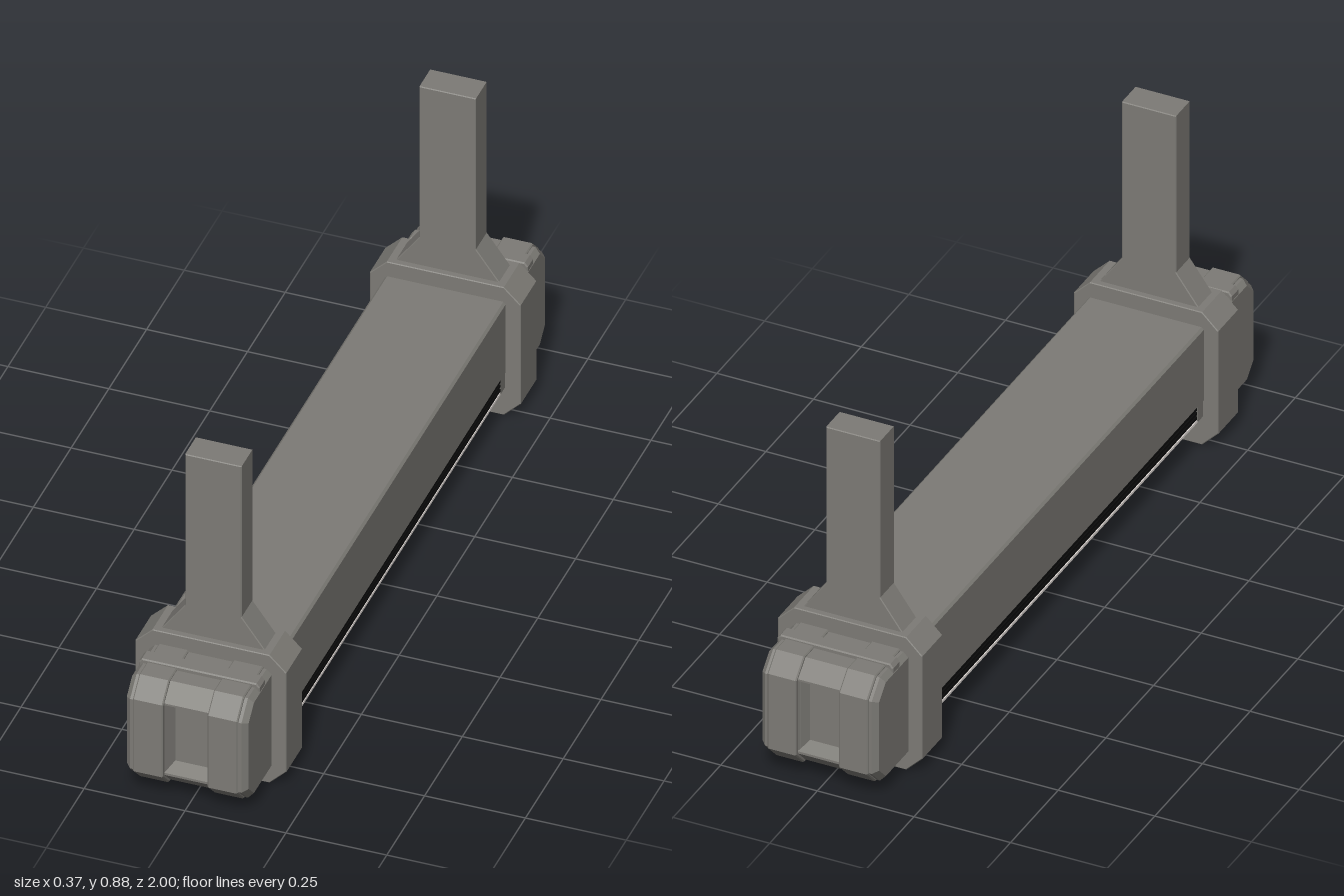
import * as THREE from 'three';

const gray = new THREE.MeshStandardMaterial({ color: 0x7d7b76 });
gray.name = 'housingGray';
const black = new THREE.MeshStandardMaterial({ color: 0x0b0b0b });
black.name = 'ventBlack';
const teal = new THREE.MeshStandardMaterial({ color: 0x66cbc9 });
teal.name = 'lensTeal';
const pale = new THREE.MeshStandardMaterial({ color: 0xe6dfdb });
pale.name = 'trimPale';

function extrude(points, depth, bevel = 0) {
  const shape = new THREE.Shape(points.map(([a, b]) => new THREE.Vector2(a, b)));
  const geo = new THREE.ExtrudeGeometry(shape, {
    depth: depth - 2 * bevel, bevelEnabled: bevel > 0, bevelSize: bevel,
    bevelThickness: bevel, bevelOffset: -bevel, bevelSegments: 1,
  });
  return geo.translate(0, 0, bevel - depth / 2);
}

// x-y section run along z, centred on z
function alongZ(name, points, depth, z, material, bevel) {
  const mesh = new THREE.Mesh(extrude(points, depth, bevel), material);
  mesh.name = name;
  mesh.position.z = z;
  return mesh;
}

// z-y section run along x, centred on x
function alongX(name, points, width, x, material, bevel) {
  const mesh = new THREE.Mesh(extrude(points, width, bevel).rotateY(-Math.PI / 2), material);
  mesh.name = name;
  mesh.position.x = x;
  return mesh;
}

function box(name, w, h, d, x, y, z, material) {
  const mesh = new THREE.Mesh(new THREE.BoxGeometry(w, h, d), material);
  mesh.name = name;
  mesh.position.set(x, y, z);
  return mesh;
}

// right half of a section, completed by reflection
const mirrored = (half) => [...half, ...half.slice().reverse().map(([x, y]) => [-x, y])];

// end-cap side profile with chamfered outer corners
const capProfile = (z, y0, y1) => [
  [0.8, y0], [z - 0.043, y0], [z, y0 + 0.043], [z, y1 - 0.043], [z - 0.043, y1], [0.8, y1],
];

function createEnd(name) {
  const end = new THREE.Group();
  end.name = name;

  // clamp ring and hanger
  const ring = mirrored([[0.145, 0], [0.187, 0.042], [0.187, 0.325], [0.145, 0.366]]);
  end.add(alongZ('bracket', ring, 0.106, 0.776, gray, 0.002));
  const stem = mirrored([[0.128, 0.355], [0.128, 0.365], [0.07, 0.445], [0.07, 0.877]]);
  end.add(alongZ('hanger', stem, 0.074, 0.776, gray, 0.002));

  // cap: two bevelled cheeks, raised pads and a recessed middle
  for (const s of [-1, 1]) {
    end.add(alongX('capCheek', capProfile(0.995, 0.04, 0.325), 0.1, s * 0.101, gray, 0.013));
    end.add(alongX('capPad', capProfile(1, 0.038, 0.33), 0.075, s * 0.0925, gray, 0.003));
  }
  end.add(alongX('capMiddle', [
    [0.8, 0.042], [0.95, 0.042], [0.99, 0.082], [0.99, 0.088], [0.957, 0.105],
    [0.957, 0.265], [0.99, 0.282], [0.99, 0.287], [0.95, 0.325], [0.8, 0.325],
  ], 0.11, 0, gray));

  // sloping sides of the recess
  for (const s of [-1, 1]) {
    const wedge = extrude([[0, 0], [s * -0.015, 0], [0, 0.033]], 0.19).rotateX(Math.PI / 2);
    const slope = new THREE.Mesh(wedge, gray);
    slope.name = 'recessSlope';
    slope.position.set(s * 0.055, 0.185, 0.957);
    end.add(slope);
  }

  // raised ridge over the cap
  end.add(alongZ('capRidge', mirrored([[0.15, 0.31], [0.15, 0.326], [0.142, 0.336]]), 0.038, 0.888, gray, 0.003));

  // lower lip closing the housing beside the lens
  end.add(alongZ('housingLip', mirrored([[0.12, 0.05], [0.148, 0.08], [0.148, 0.2]]), 0.05, 0.719, gray));
  return end;
}

export function createModel() {
  const model = new THREE.Group();
  model.name = 'hangingLamp';

  // long housing
  const section = mirrored([[0.15, 0.125], [0.15, 0.319], [0.144, 0.325]]);
  model.add(alongZ('housing', section, 1.5, 0, gray));

  // ribbed vent strip
  model.add(box('ventCore', 0.28, 0.042, 1.38, 0, 0.105, 0, black));
  for (const s of [-1, 1]) {
    for (const y of [0.095, 0.107, 0.119]) {
      model.add(box('ventRib', 0.014, 0.008, 1.38, s * 0.142, y, 0, black));
    }
  }

  // lens with a flat bottom and shallow sloping sides
  const lens = mirrored([[0.088, 0.033], [0.144, 0.082]]);
  model.add(alongZ('lens', lens, 1.37, 0, teal));

  // pale frame: cross ribs and long edge trims
  const rib = mirrored([[0.09, 0.028], [0.149, 0.081], [0.149, 0.085]]);
  for (const z of [-0.686, -0.44, -0.22, 0, 0.22, 0.44, 0.686]) {
    model.add(alongZ('lensRib', rib, 0.011, z, pale));
  }
  for (const s of [-1, 1]) {
    model.add(box('lensLowerTrim', 0.009, 0.007, 1.38, s * 0.088, 0.033, 0, pale));
    model.add(box('lensUpperTrim', 0.012, 0.007, 1.38, s * 0.143, 0.084, 0, pale));
  }

  // matching ends
  const front = createEnd('frontEnd');
  const back = createEnd('backEnd');
  back.rotation.y = Math.PI;
  model.add(front, back);
  return model;
}
